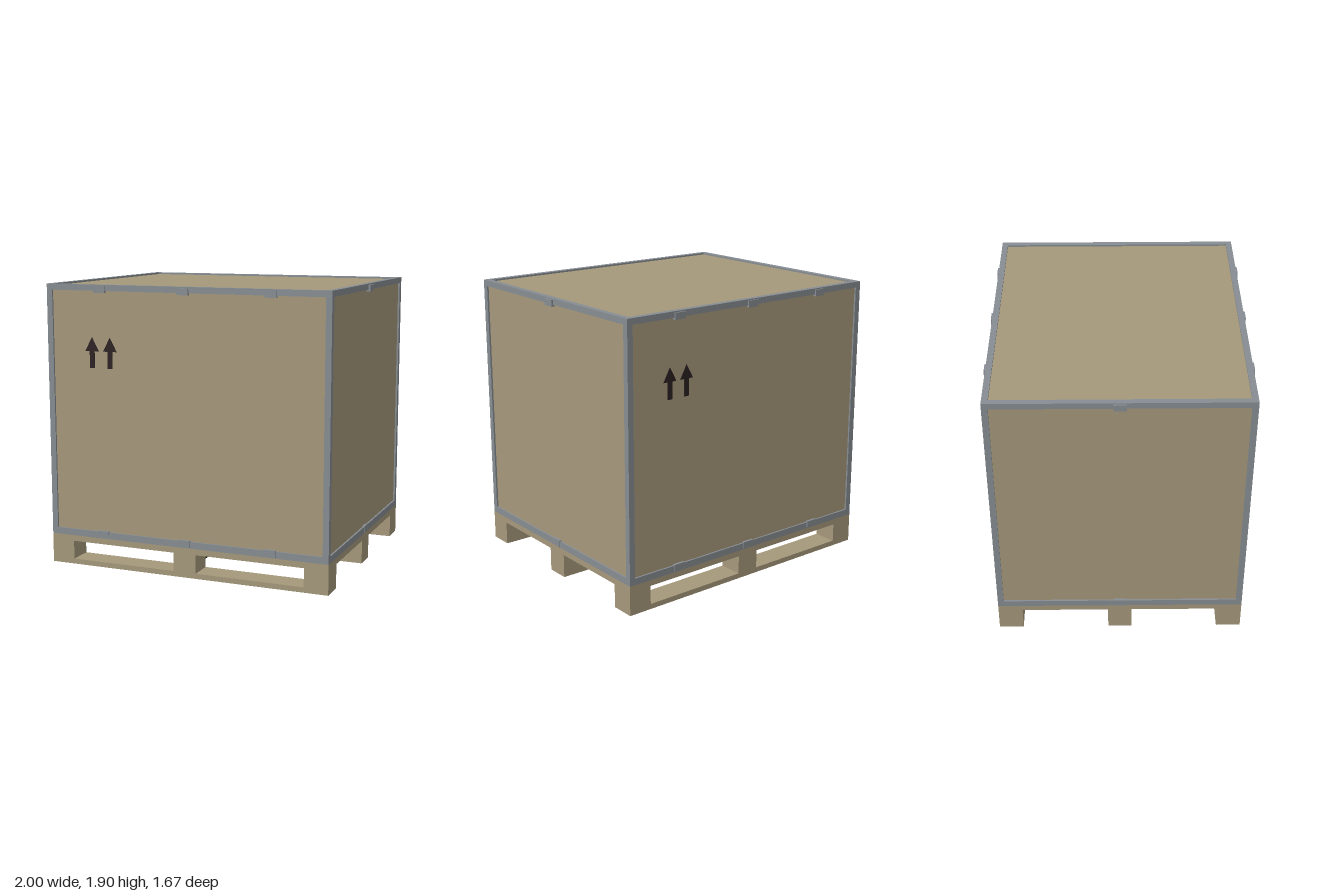
import * as THREE from 'three';

export function createModel() {
  const model = new THREE.Group();
  model.name = 'palletCrate';

  const mat = (name, color) => {
    const m = new THREE.MeshStandardMaterial({ color });
    m.name = name;
    return m;
  };
  const board = mat('tan board', 0xa6997b);
  const metal = mat('grey metal', 0x878d92);
  const dark = mat('dark brown', 0x2b2021);

  // Box given by its lower and upper corners
  const box = (name, material, [x0, y0, z0], [x1, y1, z1], parent = model) => {
    const mesh = new THREE.Mesh(new THREE.BoxGeometry(x1 - x0, y1 - y0, z1 - z0), material);
    mesh.position.set((x0 + x1) / 2, (y0 + y1) / 2, (z0 + z1) / 2);
    mesh.name = name;
    parent.add(mesh);
    return mesh;
  };

  const X = 0.987, Z = 0.826, Y0 = 0.2, Y1 = 1.9;
  const T = 0.04, RECESS = 0.012;
  const GAP = 0.08, RUN = 0.035, DECK = 0.16;
  const XI = X - 0.162, ZI = Z - 0.164;

  // Crate body, set slightly back from the metal frame
  box('crateBody', board, [-X + RECESS, Y0, -Z + RECESS], [X - RECESS, Y1 - RECESS, Z - RECESS]);

  // Metal frame along the twelve edges
  const frame = new THREE.Group();
  frame.name = 'frame';
  model.add(frame);
  for (const s of [-1, 1]) {
    const span = (outer) => (s < 0 ? [-outer, -outer + T] : [outer - T, outer]);
    const [xa, xb] = span(X), [za, zb] = span(Z);
    for (const [ya, yb] of [[Y0, Y0 + T + 0.005], [Y1 - T, Y1]]) {
      box('longRail', metal, [-X, ya, za], [X, yb, zb], frame);
      box('shortRail', metal, [xa, ya, -Z + T], [xb, yb, Z - T], frame);
    }
    for (const [pa, pb] of [[-Z, -Z + T], [Z - T, Z]]) {
      box('cornerPost', metal, [xa, Y0 + T, pa], [xb, Y1 - T, pb], frame);
    }
  }

  // Clips on the upper and lower rails
  for (const [ya, yb, out] of [[1.848, 1.892, 0.013], [Y0 + 0.005, 0.252, 0.006]]) {
    for (const s of [-1, 1]) {
      for (const x of [-0.594, 0, 0.594]) {
        const a = s * (Z - 0.02), b = s * (Z + Math.min(out, 0.01));
        box('clip', metal, [x - 0.04, ya, Math.min(a, b)], [x + 0.04, yb, Math.max(a, b)], frame);
      }
      const a = s * (X - 0.02), b = s * (X + out);
      box('clip', metal, [Math.min(a, b), ya, -0.04], [Math.max(a, b), yb, 0.04], frame);
    }
  }

  // Pallet: deck, three runners, and blocks round the edge
  const pallet = new THREE.Group();
  pallet.name = 'pallet';
  model.add(pallet);
  box('deck', board, [-X, DECK, -Z], [X, Y0, Z], pallet);
  const columns = [[-X, -XI], [-GAP, GAP], [XI, X]];
  const rows = [[-Z, -ZI], [-GAP, GAP], [ZI, Z]];
  rows.forEach(([za, zb], r) => {
    box('runner', board, [-X, 0, za], [X, RUN, zb], pallet);
    columns.forEach(([xa, xb], c) => {
      if (r === 1 && c === 1) return;
      box('block', board, [xa, RUN, za], [xb, DECK, zb], pallet);
    });
  });

  // Dark dividers crossing under the deck
  box('longDivider', dark, [-XI, RUN, -0.003], [XI, DECK, 0.003], pallet);
  box('crossDivider', dark, [-0.003, RUN, -ZI], [0.003, DECK, ZI], pallet);

  // Upright arrows on the front and back panels
  const arrow = new THREE.Shape([
    [-0.018, 0], [0.018, 0], [0.018, 0.112], [0.05, 0.112],
    [0, 0.203], [-0.05, 0.112], [-0.018, 0.112],
  ].map(([x, y]) => new THREE.Vector2(x, y)));
  const arrowGeometry = new THREE.ExtrudeGeometry(arrow, { depth: 0.003, bevelEnabled: false });
  for (const [name, turn] of [['frontArrows', 0], ['backArrows', Math.PI]]) {
    const pair = new THREE.Group();
    pair.name = name;
    for (const x of [-0.661, -0.53]) {
      const mesh = new THREE.Mesh(arrowGeometry, dark);
      mesh.name = 'arrow';
      mesh.position.set(x, 1.352, Z - RECESS);
      pair.add(mesh);
    }
    pair.rotation.y = turn;
    model.add(pair);
  }

  return model;
}
